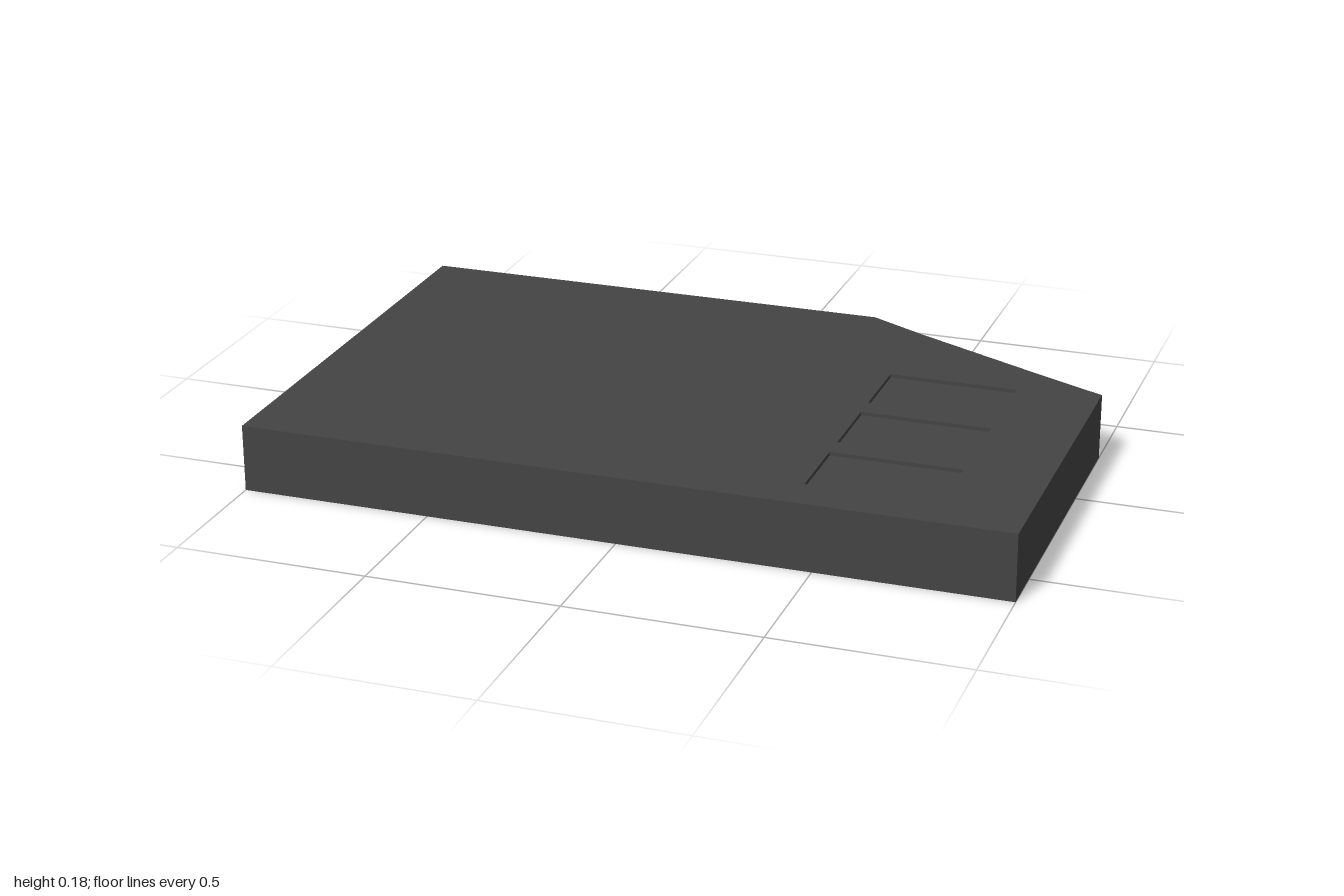
import * as THREE from 'three';

const HEIGHT = 0.176;
const RECESS = 0.01; // depth of the pockets on the top and bottom
const POCKET = { x0: 0.445, x1: 0.785, depth: 0.21, centres: [-0.135, 0.14, 0.415] };

export function createModel() {
  const group = new THREE.Group();
  group.name = 'cardSlab';
  const material = new THREE.MeshStandardMaterial({ color: 0x444444, flatShading: true });

  // Outline in plan; shape y is -z, with one slanted, slightly hollow corner
  const outline = new THREE.Shape([
    [-1, -0.633], [1, -0.633], [1, 0.275], [0.8, 0.371], [0.44, 0.551], [0.29, 0.633], [-1, 0.633],
  ].map(([x, y]) => new THREE.Vector2(x, y)));

  // Three pocket openings beside the slanted corner
  const half = POCKET.depth / 2;
  for (const z of POCKET.centres) {
    outline.holes.push(new THREE.Path([
      new THREE.Vector2(POCKET.x0, -z - half),
      new THREE.Vector2(POCKET.x0, -z + half),
      new THREE.Vector2(POCKET.x1, -z + half),
      new THREE.Vector2(POCKET.x1, -z - half),
    ]));
  }

  const bodyGeometry = new THREE.ExtrudeGeometry(outline, { depth: HEIGHT, bevelEnabled: false });
  bodyGeometry.rotateX(-Math.PI / 2);
  const body = new THREE.Mesh(bodyGeometry, material);
  body.name = 'body';
  group.add(body);

  // Panels filling the openings, sunk below both faces
  const panelGeometry = new THREE.BoxGeometry(POCKET.x1 - POCKET.x0, HEIGHT - 2 * RECESS, POCKET.depth);
  POCKET.centres.forEach((z, i) => {
    const panel = new THREE.Mesh(panelGeometry, material);
    panel.name = `recessedPanel${i + 1}`;
    panel.position.set((POCKET.x0 + POCKET.x1) / 2, HEIGHT / 2, z);
    group.add(panel);
  });

  return group;
}
